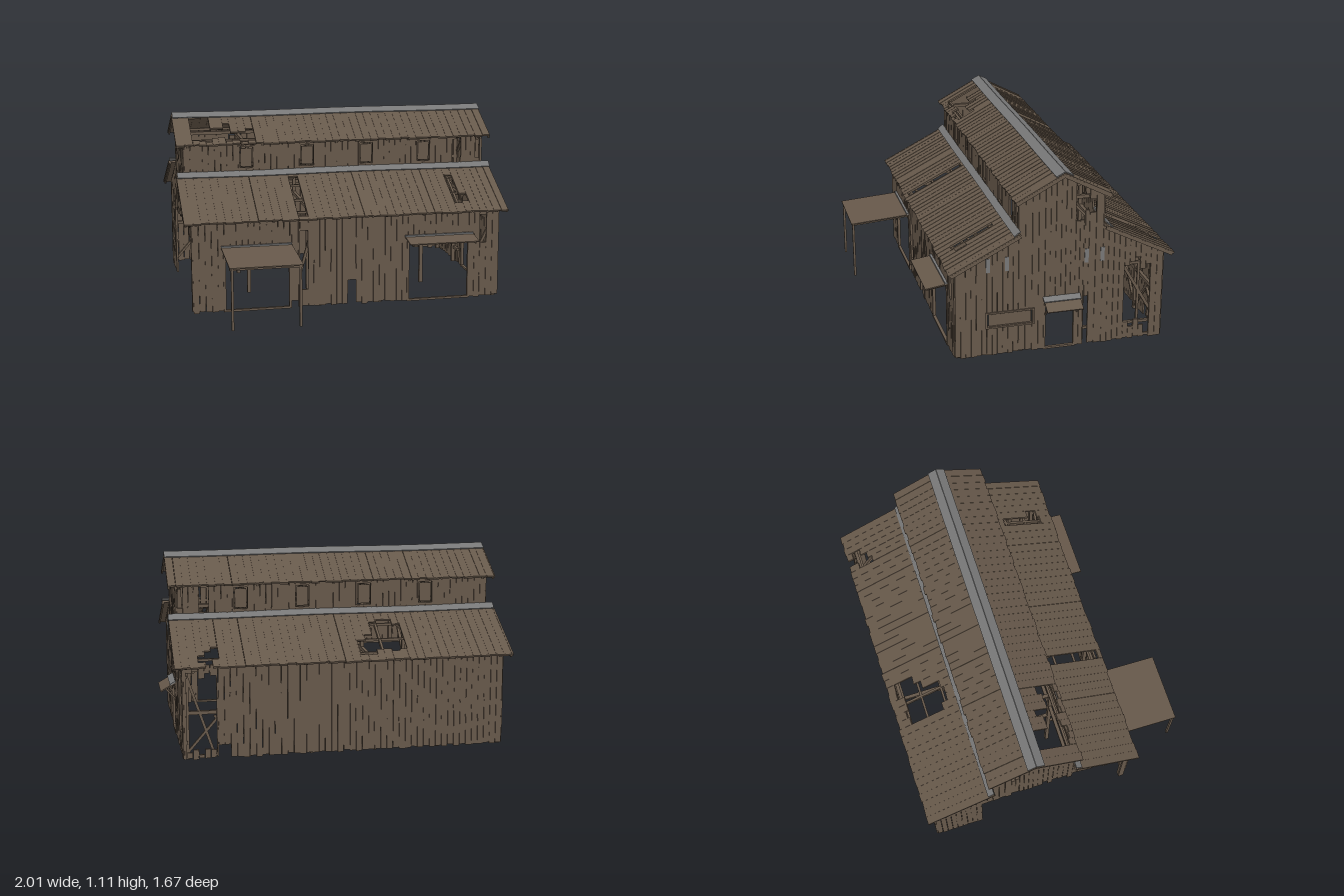
import * as THREE from 'three';
import { mergeGeometries } from 'three/addons/utils/BufferGeometryUtils.js';

const material = (name, color) => {
  const m = new THREE.MeshStandardMaterial({ color });
  m.name = name;
  return m;
};

export function createModel() {
  const barn = new THREE.Group();
  barn.name = 'weatheredBarn';
  const wood = material('weatheredWood', 0x66584a);
  const metal = material('greyMetal', 0x777777);

  let seed = 11;
  const rand = () => (seed = (seed * 16807) % 2147483647) / 2147483647;
  const X0 = -0.955, X1 = 0.905, ZF = 0.455, ZB = -0.785, CF = 0.085, CB = -0.415, MID = -0.165;

  const add = (name, geos, mat = wood) => {
    const mesh = new THREE.Mesh(mergeGeometries(geos), mat);
    mesh.name = name;
    barn.add(mesh);
    return mesh;
  };

  // Four-cornered slab standing in the xy plane
  function slab(l, r, bl, br, tl, tr, t) {
    const s = new THREE.Shape([[l, bl], [r, br], [r, tr], [l, tl]].map(p => new THREE.Vector2(...p)));
    return new THREE.ExtrudeGeometry(s, { depth: t, bevelEnabled: false }).translate(0, 0, -t / 2);
  }

  // Timber between two points
  const dummy = new THREE.Object3D();
  function beam(a, b, w = 0.018, h = w) {
    const p = new THREE.Vector3(...a), q = new THREE.Vector3(...b);
    dummy.position.copy(p).add(q).multiplyScalar(0.5);
    dummy.lookAt(q);
    dummy.updateMatrix();
    return new THREE.BoxGeometry(w, h, p.distanceTo(q)).applyMatrix4(dummy.matrix);
  }

  // Row of boards and battens from u0 to u1; holes are [u0, u1, v0, v1, raggedness]
  function planks(name, { u0, u1, top, bottom = () => 0, holes = [], width = 0.036, longBattens = false, ragged = 0.012 }) {
    const boards = [], t = 0.01;
    const cuts = [u0, u1, ...holes.flatMap(h => [h[0], h[1]])].filter(u => u >= u0 && u <= u1).sort((a, b) => a - b);
    for (let c = 0; c < cuts.length - 1; c++) {
      const span = cuts[c + 1] - cuts[c];
      if (span < 0.002) continue;
      const n = Math.max(1, Math.round(span / width));
      for (let i = 0; i < n; i++) {
        const l = cuts[c] + span * i / n, r = cuts[c] + span * (i + 1) / n - 0.002;
        const m = (l + r) / 2, drop = rand() * ragged;
        let runs = [[bottom(m) + drop, null]];
        for (const [a, b, v0, v1, j = 0] of holes) {
          if (m < a || m > b) continue;
          const lo = v0 + (rand() - 0.5) * j, hi = v1 + (rand() - 0.5) * j;
          runs = runs.flatMap(([s, e]) => {
            const end = e === null ? top(m) : e;
            if (hi <= s || lo >= end) return [[s, e]];
            return [[s, lo], [hi, e]].filter(([x, y]) => (y === null ? top(m) : y) - x > 0.012);
          });
        }
        for (const [s, e] of runs) {
          const tl = e === null ? top(l) : e, tr = e === null ? top(r) : e;
          const tilt = (rand() - 0.5) * 0.006, low = Math.min(tl, tr), len = low - s;
          boards.push(slab(l, r, s, s + tilt, tl, tr, t + rand() * 0.003));
          if (len < 0.03 || rand() < (longBattens ? 0.1 : 0.2)) continue;
          const bLen = longBattens ? len : len * (0.15 + rand() * 0.45);
          const s0 = s + (len - bLen) * rand(), w = longBattens ? 0.004 + rand() * 0.007 : 0.003 + rand() * 0.005;
          boards.push(slab(l - w / 2, l + w / 2, s0, s0, s0 + bLen, s0 + bLen, t + 0.005));
        }
      }
    }
    return add(name, boards);
  }

  // Long lower walls
  planks('frontWall', { u0: X0, u1: X1, top: () => 0.55, holes: [
    [-0.77, -0.38, -0.1, 0.36], [0.34, 0.72, -0.1, 0.37], [-0.32, -0.27, 0.12, 0.5, 0.08],
    [-0.37, -0.33, -0.1, 0.06, 0.06], [-0.03, 0.02, -0.1, 0.11, 0.12], [0.79, 0.83, 0.36, 0.51, 0.04]] }).position.z = ZF;
  planks('backWall', { u0: X0, u1: X1, top: () => 0.55, holes: [
    [0.64, 0.71, -0.1, 0.13, 0.15], [0.72, 0.89, 0.04, 0.5, 0.08]] }).position.z = ZB;

  // Raised middle walls with four shuttered windows on each side
  const windowXs = [-0.58, -0.205, 0.165, 0.53];
  for (const [side, z] of [['front', CF], ['back', CB]]) {
    planks(side + 'UpperWall', { u0: X0, u1: X1, top: () => 0.95, bottom: () => 0.7, holes: [
      ...windowXs.map(x => [x - 0.043, x + 0.043, 0.79, 0.92]), [0.72, 0.775, 0.77, 0.93, 0.03], [0.87, 0.9, 0.8, 0.94, 0.03]] }).position.z = z;
    const frames = [], shutters = [];
    for (const x of windowXs) {
      for (const s of [-1, 1]) frames.push(beam([x + s * 0.045, 0.78, z], [x + s * 0.045, 0.925, z], 0.009, 0.022));
      for (const y of [0.784, 0.921]) frames.push(beam([x - 0.05, y, z], [x + 0.05, y, z], 0.022, 0.009));
      shutters.push(slab(x - 0.034, x + 0.034, 0.796, 0.796, 0.908, 0.908, 0.008).translate(0, 0, z));
    }
    add(side + 'WindowFrames', frames);
    add(side + 'Shutters', shutters);
  }

  // Gable ends, built in sections along u = -z
  const lowTop = u => 0.735 - 0.512 * Math.max(0, Math.abs(u + MID) - 0.25);
  const highTop = u => 1.075 - 0.526 * Math.abs(u + MID);
  const rightHoles = [[0.07, 0.25, -0.1, 0.27], [-0.27, -0.005, 0.185, 0.262], [0.55, 0.71, 0.08, 0.5, 0.12],
    [0.25, 0.3, 0.78, 1.0, 0.03], [0.3, 0.37, 0.82, 0.93, 0.1], [0.305, 0.33, -0.1, 0.26, 0.1]];
  const leftHoles = [[-0.42, 0.49, -0.1, 0.47, 0.08], [0.25, 0.3, 0.78, 1.0, 0.04]];
  for (const [side, x, holes] of [['left', X1, rightHoles], ['right', X0, leftHoles]]) {
    [[-ZF, -CF, lowTop], [-CF, -MID, highTop], [-MID, -CB, highTop], [-CB, -ZB, lowTop]].forEach(([u0, u1, top], i) => {
      const g = planks(side + 'Gable' + (i + 1), { u0, u1, top, holes, width: 0.033 });
      g.rotation.y = Math.PI / 2;
      g.position.x = x;
    });
  }
  // Grey patches high on the left gable
  add('gablePatches', [0.265, 0.155, -0.315, -0.41].map(z => new THREE.BoxGeometry(0.02, 0.085, 0.024).translate(X1, 0.565, z)), metal);

  // Four plank roof slopes, each from eave to upper edge
  const slopes = [
    ['frontLowerRoof', 0.54, 0.5, 0.75, CF, [[-0.33, -0.27, 0.03, 0.42, 0.03], [0.64, 0.69, 0.12, 0.36, 0.1], [0.69, 0.735, 0.12, 0.2, 0.06]]],
    ['backLowerRoof', 0.54, -0.835, 0.75, CB, [[-0.39, -0.21, 0.09, 0.35, 0.06], [-0.21, -0.11, 0.08, 0.2, 0.08], [0.7, 0.82, 0.05, 0.14, 0.09]]],
    ['frontUpperRoof', 0.935, 0.12, 1.085, MID, [[-0.9, -0.78, 0.04, 0.28, 0.03], [-0.78, -0.66, 0.04, 0.2, 0.1], [-0.66, -0.52, 0.04, 0.13, 0.08]]],
    ['backUpperRoof', 0.935, -0.45, 1.085, MID, []]];
  const rafters = [], purlins = [];
  for (const [name, y0, z0, y1, z1, holes] of slopes) {
    const dy = y1 - y0, dz = z1 - z0, len = Math.hypot(dy, dz), upper = y0 > 0.9;
    const g = planks(name, { u0: -1, u1: 0.955, top: () => len, holes, width: 0.047, longBattens: true, ragged: 0.01 });
    g.position.set(0, y0, z0);
    g.rotation.x = Math.atan2(dz, dy);
    const along = (x, k, d) => [x, y0 + dy * k - d, z0 + dz * k];
    for (let x = X0 + 0.02; x < X1; x += upper ? 0.456 : 0.228) rafters.push(beam(along(x, 0.06, 0.015), along(x, 1, 0.015), 0.014, 0.02));
    for (const k of upper ? [0.22] : [0.2, 0.45, 0.75]) purlins.push(beam(along(X0, k, 0.012), along(X1, k, 0.012), 0.014));
    // Rake boards at both ends
    for (const x of [-0.994, 0.949]) rafters.push(beam(along(x, 0.03, 0.01), along(x, 1, 0.01), 0.01, 0.02));
  }
  add('rafters', rafters);
  add('purlins', purlins);

  // Metal ridge cap and flashings, sagging a little along their length
  const strip = (y0, z0, y1, z1) => {
    const g = new THREE.BoxGeometry(1.955, Math.hypot(y1 - y0, z1 - z0), 0.006, 16, 1, 1);
    g.rotateX(Math.atan2(z1 - z0, y1 - y0)).translate(-0.0225, (y0 + y1) / 2, (z0 + z1) / 2);
    const p = g.attributes.position;
    for (let i = 0; i < p.count; i++) p.setY(i, p.getY(i) + 0.002 * Math.sin(p.getX(i) * 5 + 1));
    g.computeVertexNormals();
    return g;
  };
  add('ridgeCap', [strip(1.074, -0.115, 1.1, MID), strip(1.074, -0.215, 1.1, MID)], metal);
  add('flashings', [strip(0.744, 0.124, 0.772, 0.088), strip(0.744, -0.454, 0.772, -0.418)], metal);

  // Interior post-and-beam frame with knee braces
  const frame = [];
  for (const x of [-0.94, -0.57, -0.2, 0.17, 0.53, 0.885]) {
    for (const [z, h] of [[ZF - 0.02, 0.53], [CF - 0.02, 0.93], [CB + 0.02, 0.93], [ZB + 0.02, 0.53]]) {
      const overDoor = z > 0.4 && (x === -0.57 || x === 0.53);
      const openEnd = x === -0.94 && h > 0.9;
      frame.push(beam([x, overDoor ? 0.38 : openEnd ? 0.5 : 0, z], [x, h, z], 0.022));
    }
    frame.push(beam([x, 0.52, ZF], [x, 0.52, ZB], 0.02), beam([x, 0.92, CF], [x, 0.92, CB], 0.02));
    if (x > -0.9) for (const [z, s] of [[CF, 1], [CB, -1]]) frame.push(beam([x, 0.38, z], [x, 0.52, z + s * 0.14], 0.016));
  }
  for (const [z, y] of [[ZF - 0.02, 0.52], [ZB + 0.02, 0.52], [ZB + 0.02, 0.27], [CF - 0.02, 0.72], [CB + 0.02, 0.72], [CF - 0.02, 0.93], [CB + 0.02, 0.93]])
    frame.push(beam([X0, y, z], [X1, y, z], 0.02));
  for (const x of [-0.94, -0.57, 0.17, 0.53]) {
    frame.push(beam([x, 0.02, ZB + 0.02], [x + 0.2, 0.25, ZB + 0.02], 0.014));
    frame.push(beam([x + 0.37, 0.02, ZB + 0.02], [x + 0.17, 0.25, ZB + 0.02], 0.014));
  }
  // Exposed studs and braces in the broken left gable and walls
  const xi = X1 - 0.015;
  for (const y of [0.1, 0.48]) frame.push(beam([xi, y, -0.3], [xi, y, ZB], 0.016));
  frame.push(beam([xi, 0.48, -0.54], [xi, 0.1, -0.76], 0.018), beam([xi, 0.1, -0.64], [xi, 0.48, -0.64], 0.014));
  frame.push(beam([xi, 0.87, -0.25], [xi, 0.76, -0.35], 0.014), beam([0.74, 0.05, ZB + 0.02], [0.89, 0.5, ZB + 0.02], 0.016));
  frame.push(beam([-0.34, 0.12, ZF - 0.02], [-0.24, 0.48, ZF - 0.02], 0.016), beam([0.74, 0.2, ZF - 0.02], [0.88, 0.5, ZF - 0.02], 0.016));
  add('innerFrame', frame);

  // Door frames and sills
  const doors = [];
  for (const [l, r, h] of [[-0.77, -0.38, 0.36], [0.34, 0.72, 0.37]]) {
    for (const x of [l, r]) doors.push(beam([x, 0, ZF], [x, h, ZF], 0.014, 0.018));
    for (const y of [0.006, h]) doors.push(beam([l, y, ZF], [r, y, ZF], 0.018, 0.012));
  }
  for (const z of [-0.07, -0.25]) doors.push(beam([X1, 0, z], [X1, 0.28, z], 0.018, 0.012));
  for (const y of [0.006, 0.275]) doors.push(beam([X1, y, -0.07], [X1, y, -0.25], 0.018, 0.012));
  add('doorFrames', doors);

  // Side window with its shutter
  const sideFrame = [0.178, 0.268].map(y => beam([X1, y, 0.28], [X1, y, -0.01], 0.026, 0.01));
  for (const z of [0.275, -0.004]) sideFrame.push(beam([X1, 0.175, z], [X1, 0.27, z], 0.026, 0.01));
  add('sideWindowFrame', sideFrame);
  add('sideShutter', [new THREE.BoxGeometry(0.008, 0.07, 0.25).translate(X1, 0.223, 0.135)]);

  // Porch and small canopies on supports
  add('porchRoof', [beam([-0.58, 0.361, 0.835], [-0.58, 0.39, ZF], 0.42, 0.007)]);
  add('doorCanopy', [beam([0.5325, 0.38, 0.59], [0.5325, 0.4, ZF], 0.425, 0.007)]);
  add('sideCanopy', [beam([X1, 0.325, -0.17], [0.998, 0.272, -0.17], 0.215, 0.007)]);
  const supports = [];
  for (const x of [-0.775, -0.385]) supports.push(beam([x, 0, 0.822], [x, 0.355, 0.822], 0.014), beam([x, 0.352, 0.83], [x, 0.381, ZF], 0.01));
  supports.push(beam([-0.79, 0.353, 0.822], [-0.37, 0.353, 0.822], 0.01));
  for (const x of [0.34, 0.725]) supports.push(beam([x, 0.372, 0.58], [x, 0.391, ZF], 0.01));
  for (const z of [-0.075, -0.265]) supports.push(beam([X1, 0.215, z], [0.965, 0.285, z], 0.009));
  add('canopySupports', supports);
  add('canopyFlashings', [
    ...[[-0.79, -0.37, 0.396], [0.32, 0.745, 0.405]].map(([l, r, y]) => beam([l, y, 0.467], [r, y, 0.467], 0.016, 0.01)),
    beam([X1, 0.333, -0.17], [0.942, 0.312, -0.17], 0.222, 0.008)], metal);

  return barn;
}
